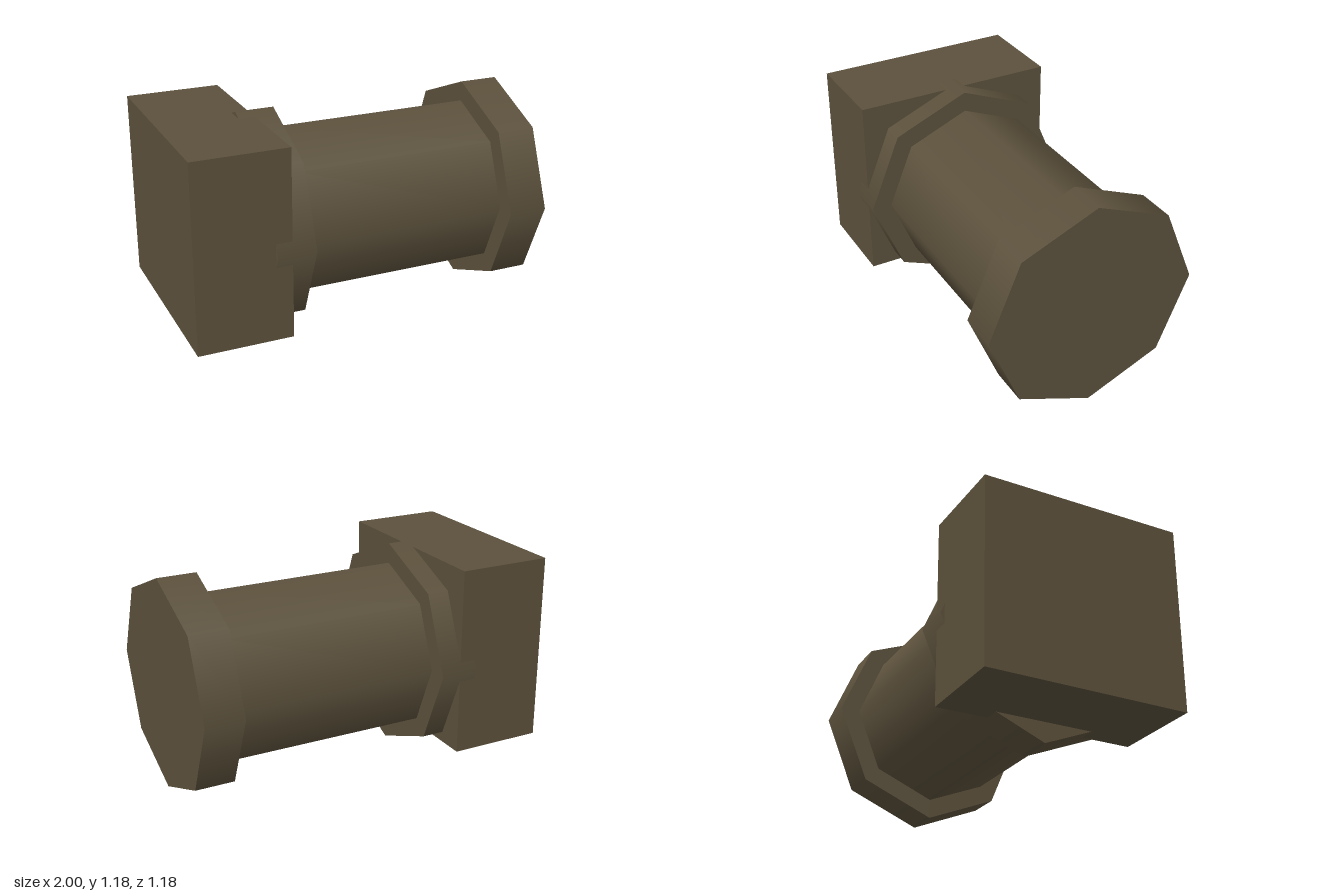
import * as THREE from 'three';

export function createModel() {
  const group = new THREE.Group();
  const bronze = new THREE.MeshStandardMaterial({ color: 0x5c513c });
  const axisY = 0.59;

  // Eight-sided drum lying along x, with smooth sides and flat ends
  function drum(name, radius, x0, x1) {
    const geometry = new THREE.CylinderGeometry(radius, radius, x1 - x0, 8);
    geometry.rotateZ(-Math.PI / 2);
    const mesh = new THREE.Mesh(geometry, bronze);
    mesh.name = name;
    mesh.position.set((x0 + x1) / 2, axisY, 0);
    group.add(mesh);
  }

  drum('shaft', 0.478, -0.36, 0.785);
  drum('innerCollar', 0.59, -0.57, -0.357);
  drum('endCap', 0.59, 0.783, 1);

  // Square block that the inner collar is sunk into
  const block = new THREE.Mesh(new THREE.BoxGeometry(0.52, 1.042, 1.13), bronze);
  block.name = 'mountingBlock';
  block.position.set(-0.74, 0.636, -0.002);
  group.add(block);

  return group;
}
